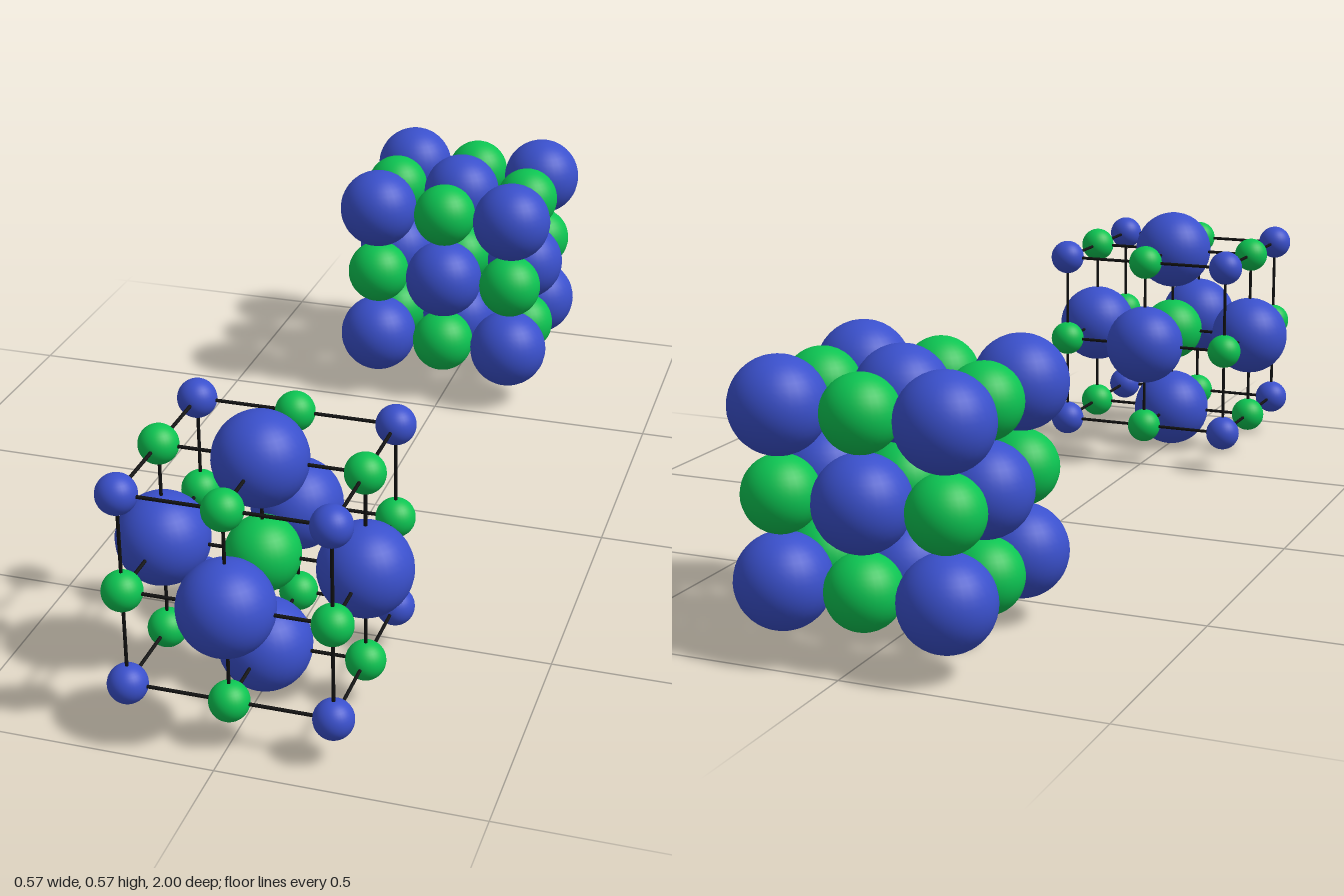
import * as THREE from 'three';

const blue = new THREE.MeshStandardMaterial({ color: 0x3a50cc });
const green = new THREE.MeshStandardMaterial({ color: 0x0cc452 });
const black = new THREE.MeshStandardMaterial({ color: 0x111111 });

const BLUE_RADIUS = 0.0893;
const GREEN_RADIUS = 0.0715;
const SMALL_RADIUS = 0.038;
const steps = [-1, 0, 1];

const ball = (r) => new THREE.SphereGeometry(r, 32, 20);
const bigBlue = ball(BLUE_RADIUS);
const bigGreen = ball(GREEN_RADIUS);
const small = ball(SMALL_RADIUS);

// 3 x 3 x 3 crystal cell: the two ions alternate along every axis.
// pick(n) chooses the geometry, n = number of non-zero steps (3 corner, 2 edge, 1 face, 0 core)
function ionGrid(name, spacing, pick) {
  const group = new THREE.Group();
  group.name = name;
  const places = ['coreIon', 'faceIon', 'edgeIon', 'cornerIon'];
  for (const i of steps) for (const j of steps) for (const k of steps) {
    const n = Math.abs(i) + Math.abs(j) + Math.abs(k);
    const ion = new THREE.Mesh(pick(n), n % 2 ? blue : green);
    ion.name = places[n];
    ion.position.set(i, j, k).multiplyScalar(spacing);
    group.add(ion);
  }
  return group;
}

// Thin bonds running through every row of ions in all three directions
function bonds(spacing) {
  const group = new THREE.Group();
  group.name = 'bonds';
  const rod = new THREE.CylinderGeometry(0.0035, 0.0035, 2 * spacing, 8);
  for (const a of steps) for (const b of steps) {
    const p = a * spacing, q = b * spacing;
    const alongX = new THREE.Mesh(rod, black);
    alongX.rotation.z = Math.PI / 2;
    alongX.position.set(0, p, q);
    const alongY = new THREE.Mesh(rod, black);
    alongY.position.set(p, 0, q);
    const alongZ = new THREE.Mesh(rod, black);
    alongZ.rotation.x = Math.PI / 2;
    alongZ.position.set(p, q, 0);
    for (const m of [alongX, alongY, alongZ]) {
      m.name = 'bond';
      group.add(m);
    }
  }
  return group;
}

export function createModel() {
  const model = new THREE.Group();
  model.name = 'crystalModels';

  // Open lattice: small ions on the outer frame, large ones at faces and core
  const lattice = ionGrid('openLattice', 0.195, (n) => (n >= 2 ? small : n ? bigBlue : bigGreen));
  lattice.add(bonds(0.195));
  lattice.position.set(0, 0.286, 0.716);

  // Packed cell: full size ions touching each other
  const packed = ionGrid('packedCell', 0.16, (n) => (n % 2 ? bigBlue : bigGreen));
  packed.position.set(-0.007, 0.295, -0.751);

  model.add(lattice, packed);
  return model;
}
